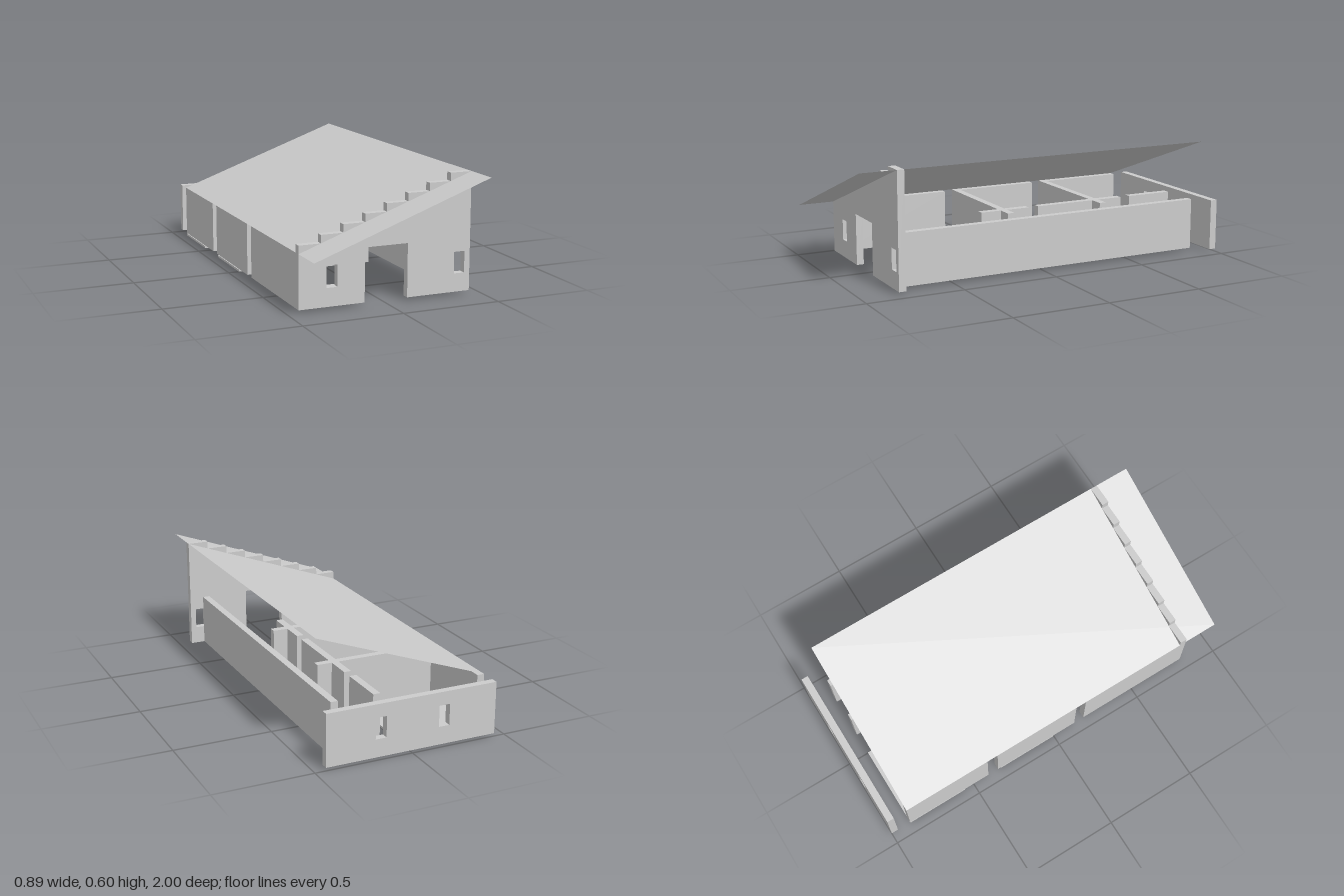
import * as THREE from 'three';

const material = new THREE.MeshStandardMaterial({ color: 0xcccccc, flatShading: true });
const roofMaterial = new THREE.MeshStandardMaterial({ color: 0xcccccc, side: THREE.DoubleSide });

const T = 0.037; // wall thickness
const BASE = 0.015; // underside of the walls
const TOP = 0.28; // top of the ordinary walls
const HALF = 0.4445; // half the width of the house
const BACK = -0.889; // back end of the side walls
const FRONT = 0.778; // inner face of the front wall

export function createModel() {
  const house = new THREE.Group();
  house.name = 'house';

  const add = (name, geometry, mat = material) => {
    const mesh = new THREE.Mesh(geometry, mat);
    mesh.name = name;
    house.add(mesh);
    return mesh;
  };

  // Box given by its limits
  const block = (name, x0, x1, y0, y1, z0, z1) =>
    add(name, new THREE.BoxGeometry(x1 - x0, y1 - y0, z1 - z0))
      .position.set((x0 + x1) / 2, (y0 + y1) / 2, (z0 + z1) / 2);

  // Upright wall facing front, with window holes starting at the given x
  const facade = (name, outline, windows, z) => {
    const shape = new THREE.Shape(outline.map(([x, y]) => new THREE.Vector2(x, y)));
    for (const x of windows) {
      const hole = [[x, 0.106], [x, 0.213], [x + 0.056, 0.213], [x + 0.056, 0.106]];
      shape.holes.push(new THREE.Path(hole.map(([u, v]) => new THREE.Vector2(u, v))));
    }
    const geometry = new THREE.ExtrudeGeometry(shape, { depth: T, bevelEnabled: false });
    add(name, geometry).position.z = z;
  };

  // Front wall: doorway at the bottom, eight steps along the top
  const front = [
    [-HALF, BASE], [-0.111, BASE], [-0.111, TOP], [0.111, TOP], [0.111, BASE], [HALF, BASE],
  ];
  const stepWidth = (2 * HALF) / 8;
  for (let i = 7; i >= 0; i--) {
    const y = 0.32 + i * 0.04;
    front.push([-HALF + (i + 1) * stepWidth, y], [-HALF + i * stepWidth, y]);
  }
  facade('frontWall', front, [-0.306, 0.36], FRONT);

  // Detached back wall with two windows
  const back = [[-HALF, BASE], [HALF, BASE], [HALF, TOP], [-HALF, TOP]];
  facade('backWall', back, [-0.194, 0.138], -1);

  // Side walls: one whole, one in three lengths with narrow gaps
  block('leftWall', 0.333, 0.37, BASE, TOP, BACK, FRONT);
  for (const [z0, z1] of [[BACK, -0.41], [-0.35, 0.13], [0.188, FRONT]]) {
    block('rightWall', -HALF, -HALF + T, BASE, TOP, z0, z1);
  }

  // Partitions between the rooms
  for (const z of [0.112, -0.428]) {
    block('crossPartition', -HALF + T, 0.23, BASE, TOP, z - T / 2, z + T / 2);
  }
  // Corridor walls with door gaps
  for (const [z0, z1] of [[BACK, -0.64], [-0.585, -0.085], [-0.03, 0.24]]) {
    block('corridorWall', 0.115, 0.115 + T, BASE, TOP, z0, z1);
  }

  // Floor slabs
  for (const [x0, z0, z1] of [[-HALF, BACK, -0.555], [-HALF, -0.333, 0], [-0.333, 0.444, 0.555]]) {
    block('floorSlab', x0, 0, 0, 0.011, z0, z1);
  }

  // Thin sloping roof that passes through the stepped wall
  const roof = new THREE.PlaneGeometry(2 * HALF, 1 - BACK);
  roof.rotateX(-Math.PI / 2).translate(0, 0, (1 + BACK) / 2);
  const p = roof.attributes.position;
  for (let i = 0; i < p.count; i++) p.setY(i, 0.44 + 0.36 * p.getX(i));
  roof.computeVertexNormals();
  add('roof', roof, roofMaterial);

  return house;
}
